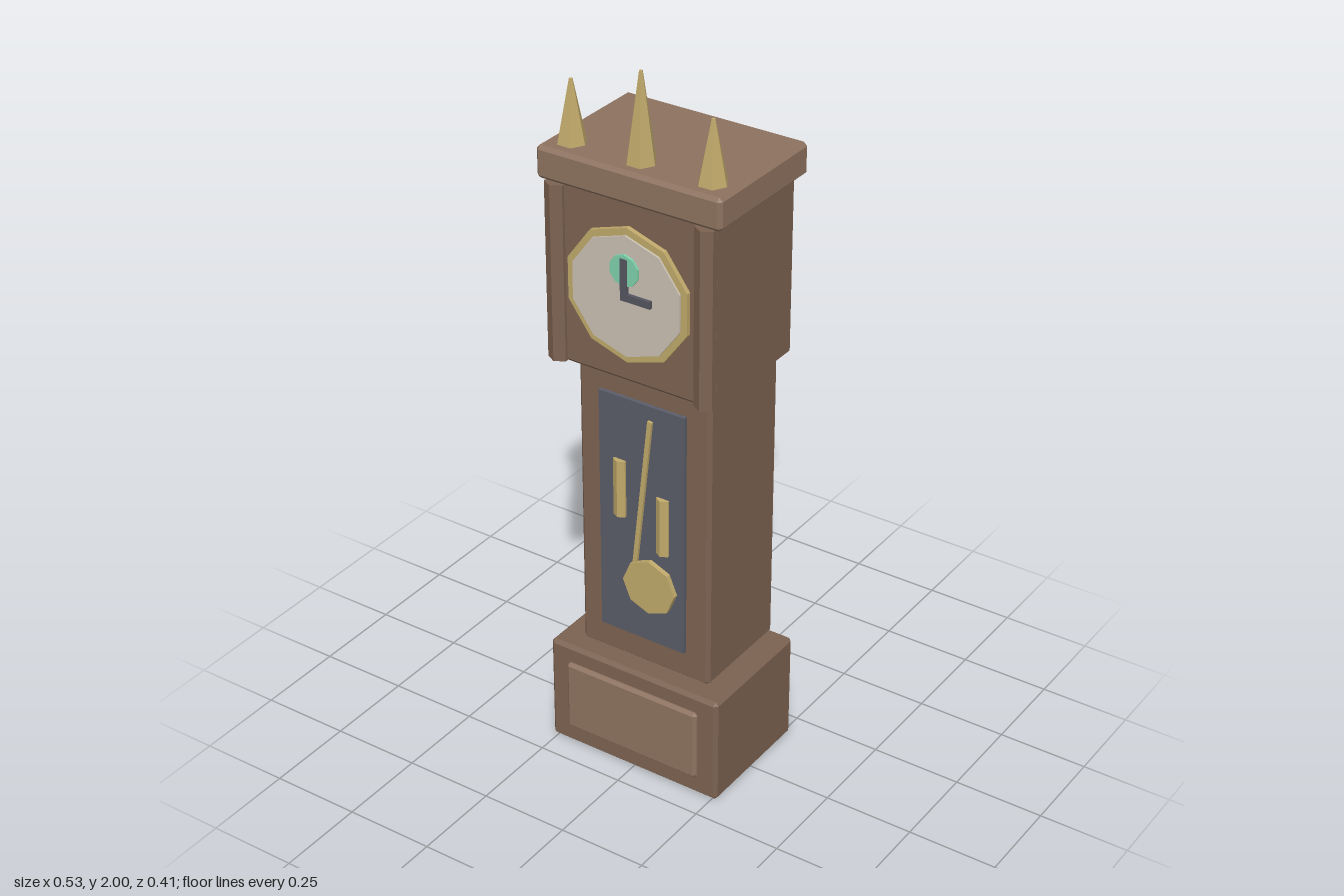
import * as THREE from 'three';
import { ConvexGeometry } from 'three/addons/geometries/ConvexGeometry.js';

const mat = (color) => new THREE.MeshStandardMaterial({ color, flatShading: true });

export function createModel() {
  const clock = new THREE.Group();
  clock.name = 'grandfatherClock';
  const wood = mat(0x7c6251), paleWood = mat(0x8d725f), brass = mat(0xbfa86a);
  const dialPaint = mat(0xcac0b1), glass = mat(0x5a5d68), moonPaint = mat(0x7fd0ab), handPaint = mat(0x555560);

  const add = (name, geometry, material, x = 0, y = 0, z = 0) => {
    const mesh = new THREE.Mesh(geometry, material);
    mesh.name = name;
    mesh.position.set(x, y, z);
    clock.add(mesh);
    return mesh;
  };

  // Box between limits, symmetric in x, with every edge chamfered by c
  const chamferBox = (name, material, halfW, y0, y1, z0, z1, c = 0.01) => {
    const half = [halfW, (y1 - y0) / 2, (z1 - z0) / 2];
    const points = [];
    for (const sx of [-1, 1]) for (const sy of [-1, 1]) for (const sz of [-1, 1])
      for (let face = 0; face < 3; face++) {
        const p = half.map((h, i) => (i === face ? h : h - c));
        points.push(new THREE.Vector3(p[0] * sx, p[1] * sy, p[2] * sz));
      }
    return add(name, new ConvexGeometry(points), material, 0, (y0 + y1) / 2, (z0 + z1) / 2);
  };

  // Disc facing +z with a corner at the top
  const disc = (name, material, r, sides, x, y, z0, z1) => {
    const g = new THREE.CylinderGeometry(r, r, z1 - z0, sides);
    g.rotateX(Math.PI / 2).rotateZ(sides % 4 ? Math.PI : 0);
    return add(name, g, material, x, y, (z0 + z1) / 2);
  };

  // Plain box between limits
  const box = (name, material, x0, x1, y0, y1, z0, z1) =>
    add(name, new THREE.BoxGeometry(x1 - x0, y1 - y0, z1 - z0), material,
      (x0 + x1) / 2, (y0 + y1) / 2, (z0 + z1) / 2);

  // Case
  chamferBox('base', wood, 0.265, 0, 0.315, -0.19, 0.18);
  chamferBox('basePanelFront', paleWood, 0.207, 0.057, 0.265, 0.15, 0.192, 0.008);
  chamferBox('basePanelBack', paleWood, 0.207, 0.057, 0.265, -0.204, -0.16, 0.008);
  chamferBox('trunk', wood, 0.2, 0.31, 1.185, -0.19, 0.12);
  chamferBox('hood', wood, 0.245, 1.185, 1.685, -0.18, 0.175);
  chamferBox('cornice', paleWood, 0.267, 1.677, 1.765, -0.2, 0.188);

  // Hood columns and finials
  for (const side of [-1, 1])
    add(side < 0 ? 'rightColumn' : 'leftColumn',
      new THREE.CylinderGeometry(0.031, 0.031, 0.485, 6), wood, side * 0.218, 1.4325, 0.168);
  for (const [x, top] of [[-0.203, 1.93], [0, 2], [0.203, 1.93]]) {
    const h = top - 1.76;
    add('finial', new THREE.CylinderGeometry(0.005, 0.04, h, 6), brass, x, 1.76 + h / 2, 0.123)
      .rotation.y = Math.PI / 6;
  }

  // Dial, moon and hands
  disc('dialRim', brass, 0.184, 10, 0, 1.434, 0.165, 0.188);
  disc('dial', dialPaint, 0.165, 10, 0, 1.434, 0.17, 0.194);
  disc('moon', moonPaint, 0.043, 10, 0, 1.508, 0.19, 0.201);
  box('minuteHand', handPaint, -0.01, 0.01, 1.427, 1.54, 0.19, 0.203);
  box('hourHand', handPaint, 0.01, 0.078, 1.427, 1.447, 0.19, 0.203);

  // Trunk window with pendulum and weights
  box('windowGlass', glass, -0.13, 0.13, 0.395, 1.105, 0.11, 0.131);
  const from = new THREE.Vector2(-0.02, 0.61), to = new THREE.Vector2(0.03, 1.065);
  const rod = add('pendulumRod', new THREE.BoxGeometry(0.013, from.distanceTo(to), 0.014), brass,
    (from.x + to.x) / 2, (from.y + to.y) / 2, 0.132);
  rod.rotation.z = -Math.atan2(to.x - from.x, to.y - from.y);
  disc('pendulumBob', brass, 0.08, 8, 0.029, 0.57, 0.12, 0.145);
  for (const [x, y] of [[-0.066, 0.838], [0.066, 0.765]])
    add('weight', new THREE.CylinderGeometry(0.021, 0.021, 0.167, 6), brass, x, y, 0.126);

  return clock;
}
